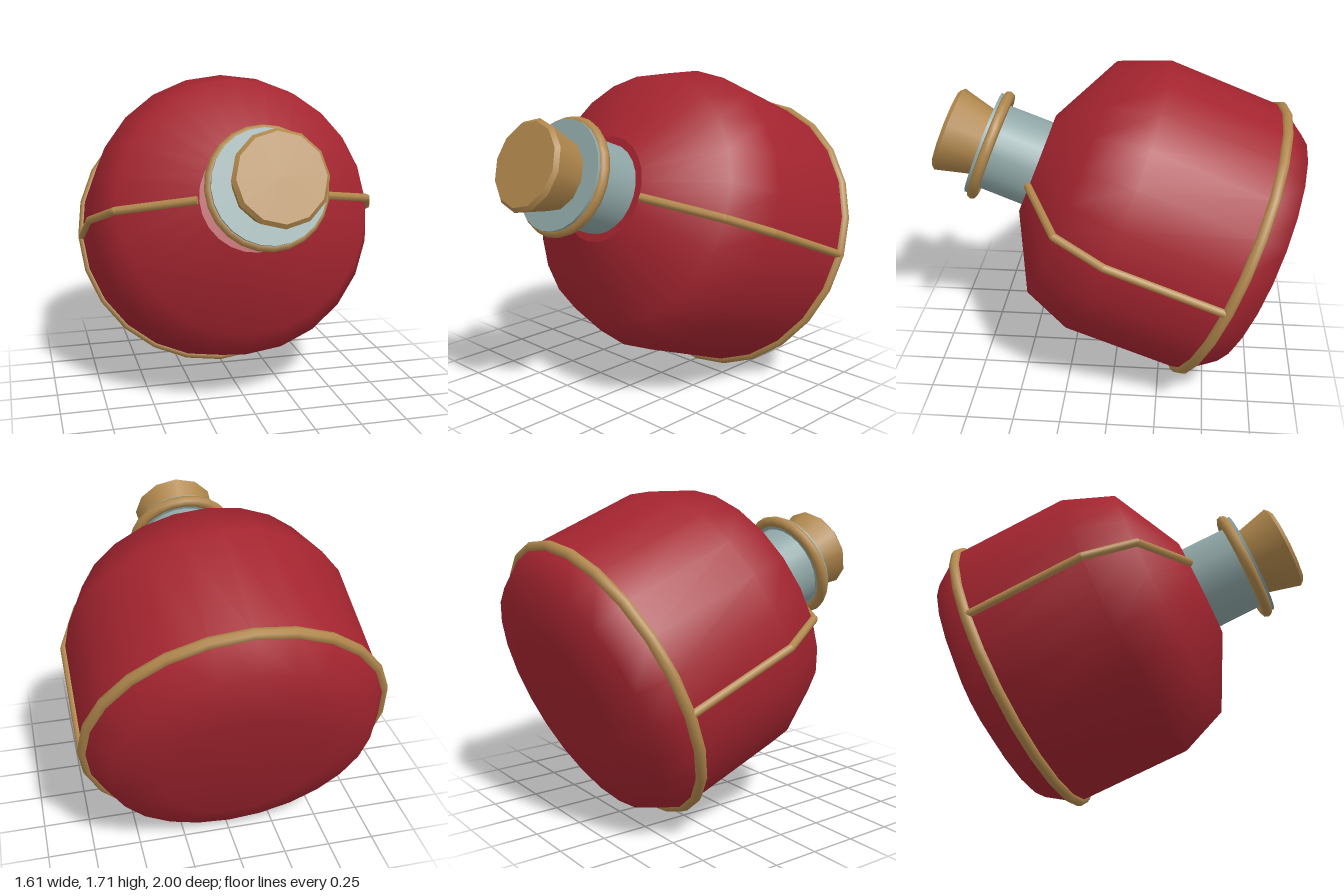
import * as THREE from 'three';

const mat = (name, color) => {
  const m = new THREE.MeshStandardMaterial({ color });
  m.name = name;
  return m;
};

export function createModel() {
  const red = mat('red', 0xa3242f);
  const gold = mat('gold', 0xb0874c);
  const grey = mat('greyBlue', 0x8fa6a6);

  const model = new THREE.Group();
  model.name = 'bottle';

  // The flask is built upright along y, then tipped forward
  const flask = new THREE.Group();
  flask.name = 'tiltedFlask';
  flask.rotation.x = THREE.MathUtils.degToRad(68.5);
  flask.position.set(0, 0.856, -0.338);
  model.add(flask);

  const add = (name, geometry, material, y = 0) => {
    const mesh = new THREE.Mesh(geometry, material);
    mesh.name = name;
    mesh.position.y = y;
    flask.add(mesh);
    return mesh;
  };
  const lathe = (points, sides = 24) =>
    new THREE.LatheGeometry(points.map(([r, y]) => new THREE.Vector2(r, y)), sides);
  const cylinder = (top, bottom, y0, y1, sides = 24) =>
    new THREE.CylinderGeometry(top, bottom, y1 - y0, sides).translate(0, (y0 + y1) / 2, 0);
  const hoop = (radius, tube) =>
    new THREE.TorusGeometry(radius, tube, 8, 24).rotateX(Math.PI / 2);

  // Round body with a flat ledge where the neck starts
  add('body', lathe([
    [0, -0.515], [0.415, -0.515], [0.675, -0.44], [0.78, -0.28],
    [0.783, 0.37], [0.675, 0.635], [0.28, 0.835],
  ]), red);
  add('shoulderLedge', lathe([[0.28, 0.835], [0.2, 0.836]]), red);

  // Neck and lip
  add('neck', cylinder(0.237, 0.24, 0.8, 1.12), grey);
  add('lip', cylinder(0.285, 0.285, 1.09, 1.148), grey);

  // Hoops round the body and the lip
  add('bodyHoop', hoop(0.775, 0.03), gold, -0.275);
  add('lipHoop', hoop(0.28, 0.03), gold, 1.105);

  // Flared stopper with a small bevel at its top
  add('stopper', cylinder(0.234, 0.178, 1.12, 1.34, 12), gold);
  add('stopperBevel', cylinder(0.215, 0.234, 1.34, 1.36, 12), gold);

  // Side straps following the body outline, mirrored left and right
  const path = [[0.78, -0.275], [0.785, 0.37], [0.68, 0.64], [0.29, 0.84]];
  const up = new THREE.Vector3(0, 1, 0);
  for (const side of [1, -1]) {
    const strap = new THREE.Group();
    strap.name = side > 0 ? 'leftStrap' : 'rightStrap';
    const pts = path.map(([x, y]) => new THREE.Vector3(side * x, y, 0));
    for (let i = 0; i < pts.length - 1; i++) {
      const dir = pts[i + 1].clone().sub(pts[i]);
      const piece = new THREE.Mesh(new THREE.CylinderGeometry(0.022, 0.022, dir.length(), 8), gold);
      piece.name = 'strapPiece';
      piece.position.copy(pts[i]).addScaledVector(dir, 0.5);
      piece.quaternion.setFromUnitVectors(up, dir.normalize());
      strap.add(piece);
      if (i > 0) {
        const joint = new THREE.Mesh(new THREE.SphereGeometry(0.022, 8, 6), gold);
        joint.name = 'strapJoint';
        joint.position.copy(pts[i]);
        strap.add(joint);
      }
    }
    flask.add(strap);
  }

  return model;
}
